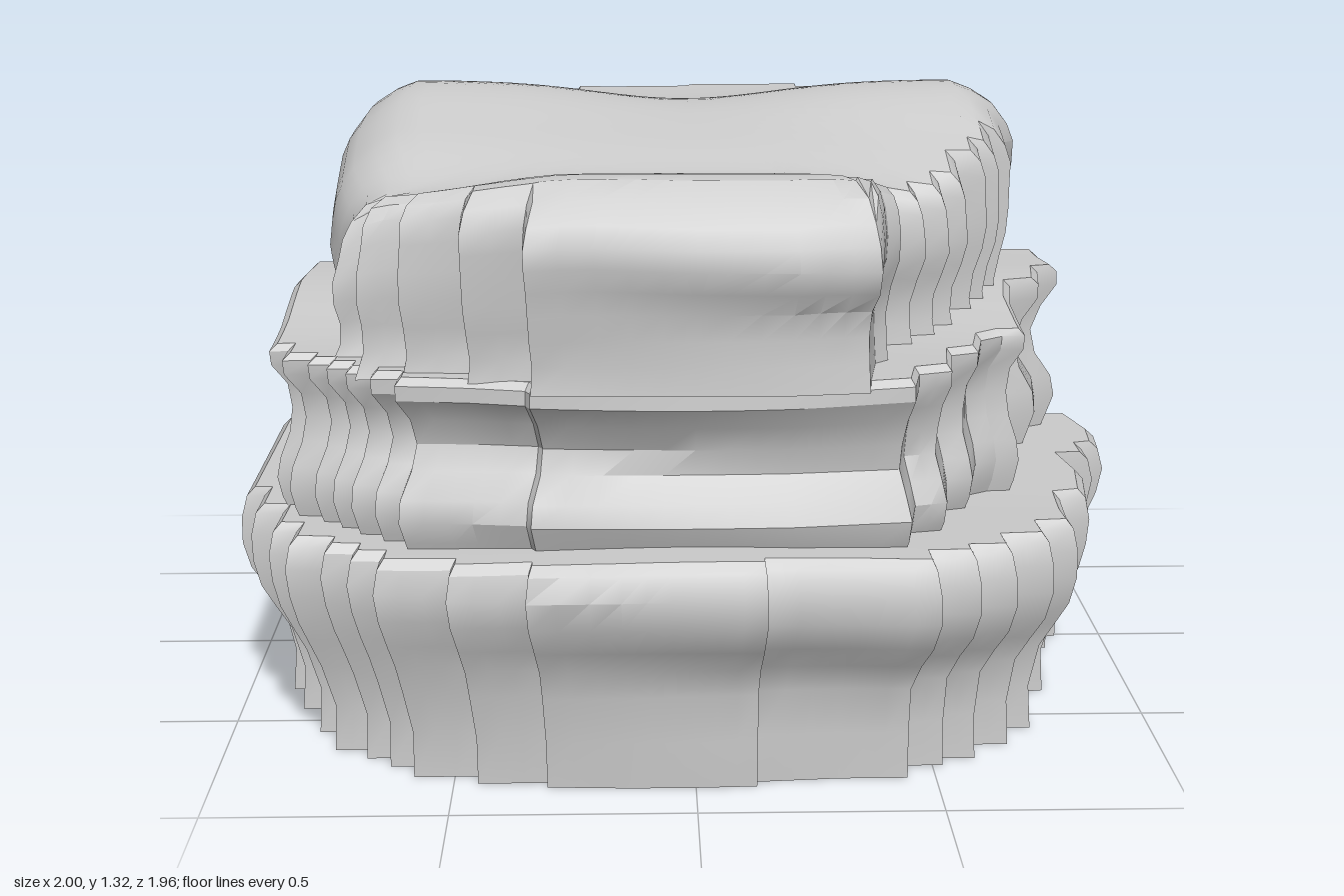
import * as THREE from 'three';
import { toCreasedNormals } from 'three/addons/utils/BufferGeometryUtils.js';

const { lerp, smoothstep } = THREE.MathUtils;
const bump = (v, centre, width) => Math.exp(-(((v - centre) / width) ** 2));

// Plan outlines as [x, z], from the front round by +x, the back and -x.
const lowerPlan = [
  [0, .975], [.14, .97], [.14, .945], [.33, .93], [.49, .88], [.49, .86], [.58, .82], [.66, .74], [.75, .64],
  [.82, .55], [.83, .41], [.89, .4], [.91, .25], [.89, .1], [.95, .1], [.95, .02], [.99, .01], [1, -.1], [.97, -.25],
  [.9, -.25], [.91, -.35], [.9, -.53], [.88, -.65], [.81, -.75], [.7, -.86], [.6, -.88], [.6, -.94], [.3, -.965],
  [0, -.98], [-.3, -.97], [-.65, -.93], [-.75, -.88], [-.8, -.82], [-.86, -.76], [-.86, -.54], [-.83, -.53],
  [-.9, -.3], [-.96, -.25], [-1, -.1], [-1, .1], [-.96, .35], [-.9, .48], [-.85, .63], [-.77, .74], [-.65, .84],
  [-.5, .9], [-.34, .94], [-.34, .965], [-.15, .975],
];
const middlePlan = [
  [0, .85], [.2, .85], [.44, .83], [.46, .72], [.53, .7], [.55, .54], [.61, .52], [.63, .42], [.68, .39], [.73, .16],
  [.75, .03], [.82, .01], [.84, -.13], [.89, -.15], [.88, -.28], [.8, -.39], [.7, -.51], [.58, -.64], [.48, -.74],
  [.4, -.82], [.36, -.9], [.26, -.92], [.24, -.965], [0, -.98], [-.25, -.96], [-.38, -.93], [-.45, -.87],
  [-.63, -.73], [-.7, -.66], [-.8, -.52], [-.83, -.43], [-.84, -.25], [-.9, -.2], [-.91, 0], [-.9, .3], [-.86, .48],
  [-.8, .57], [-.71, .66], [-.6, .76], [-.45, .82], [-.34, .83], [-.33, .85],
];
const upperPlan = [
  [0, .9], [.2, .9], [.36, .88], [.39, .68], [.42, .65], [.43, .5], [.55, .36], [.6, .25], [.66, .18], [.7, .08],
  [.74, -.04], [.77, -.1], [.77, -.28], [.72, -.4], [.6, -.52], [.45, -.65], [.4, -.74], [.33, -.83], [.2, -.885],
  [.04, -.89], [.01, -.86], [-.2, -.84], [-.28, -.78], [-.4, -.71], [-.5, -.58], [-.65, -.49], [-.72, -.36],
  [-.77, -.2], [-.79, 0], [-.78, .3], [-.75, .5], [-.69, .61], [-.6, .72], [-.34, .84], [-.2, .89],
];

// Breaks diagonal runs into small square steps and subdivides straight runs.
function stepped(plan) {
  const corners = [];
  plan.forEach(([x, z], i) => {
    const [x2, z2] = plan[(i + 1) % plan.length];
    const dx = x2 - x, dz = z2 - z;
    const low = Math.min(Math.abs(dx), Math.abs(dz));
    const n = low > .035 ? Math.max(1, Math.round(low / .06)) : 0;
    corners.push([x, z]);
    for (let k = 0; k < n; k++) {
      const ax = x + dx * k / n, az = z + dz * k / n;
      const bx = x + dx * (k + 1) / n, bz = z + dz * (k + 1) / n;
      if (k) corners.push([ax, az]);
      corners.push(Math.hypot(bx, az) > Math.hypot(ax, bz) ? [bx, az] : [ax, bz]);
    }
  });
  const out = [];
  corners.forEach(([x, z], i) => {
    const [x2, z2] = corners[(i + 1) % corners.length];
    const n = Math.max(1, Math.ceil(Math.hypot(x2 - x, z2 - z) / .07));
    for (let k = 0; k < n; k++) out.push([lerp(x, x2, k / n), lerp(z, z2, k / n)]);
  });
  return out;
}

// Scale that brings a point just inside the outline of the layer above.
const reach = (plan) => (x, z) => {
  for (let i = 0; i < plan.length; i++) {
    const [ax, az] = plan[i], [bx, bz] = plan[(i + 1) % plan.length];
    const ca = ax * z - az * x, cb = bx * z - bz * x;
    if (ca * cb > 0 || ca === cb) continue;
    const u = ca / (ca - cb);
    const s = (lerp(ax, bx, u) * x + lerp(az, bz, u) * z) / (x * x + z * z);
    if (s > 0) return Math.min(.95, s * .945);
  }
  return .8;
};

// One layer: wall rows [height share, plan scale], then a cap running inward.
function layer({ name, plan, base, top, wall, inner, capRows, chip = () => 0, lean = () => 0 }) {
  const outline = stepped(plan);
  const rows = wall.map(([t, s]) => [t, s, 0]);
  const edge = wall[wall.length - 1][1];
  for (let k = 1; k <= capRows; k++) rows.push([1, edge, k / capRows]);
  const pos = [], index = [], n = outline.length;
  rows.forEach(([t, s, inward], r) => {
    for (const [x, z] of outline) {
      // gentle weathering that varies round the wall
      const a = Math.atan2(x, z);
      const worn = .012 * Math.sin(3 * a + 9 * t) * Math.sin(Math.PI * t);
      const scale = lerp(s + worn + lean(a, t), inner(x, z), inward);
      const px = x * scale, pz = z * scale;
      const y = lerp(base, top(px, pz), t) + (r === 0 ? chip(x, z) : 0);
      pos.push(px, y, pz);
    }
  });
  for (let r = 0; r < rows.length - 1; r++) {
    for (let i = 0; i < n; i++) {
      const a = r * n + i, b = r * n + (i + 1) % n;
      index.push(a, b, b + n, a, b + n, a + n);
    }
  }
  const geo = new THREE.BufferGeometry();
  geo.setAttribute('position', new THREE.Float32BufferAttribute(pos, 3));
  geo.setIndex(index);
  const mesh = new THREE.Mesh(toCreasedNormals(geo, .5),
    new THREE.MeshStandardMaterial({ color: 0xcccccc, side: THREE.DoubleSide }));
  mesh.name = name;
  return mesh;
}

const lowerTop = (x, z) => .485 + .02 * smoothstep(z, .4, .95) + .006 * Math.cos(6 * x);
const middleTop = (x, z) => .865 - .03 * z + .012 * Math.cos(7 * z) - .01 * Math.cos(4 * x);
// rolling surface: two humps beside a central hollow, and a raised front lip
const upperTop = (x, z) => 1.235
  + .09 * bump(z, -.15, .35) + .02 * bump(z, .74, .12) - .03 * bump(z, .48, .15)
  - .045 * bump(x, 0, .3) * bump(z, -.25, .4)
  - .07 * smoothstep(z, .78, .92)
  - .045 * smoothstep(Math.abs(x), .22, .65) * smoothstep(z, .2, .7)
  - .04 * bump(x, .6, .3) * bump(z, .3, .3)
  - .08 * smoothstep(Math.abs(x), .62, .8);

export function createModel() {
  const group = new THREE.Group();
  group.name = 'layeredRock';
  // bottom layer, open below, with a small chip in the back rim
  group.add(layer({
    name: 'lowerLayer', plan: lowerPlan, base: 0, top: lowerTop, inner: reach(middlePlan), capRows: 2,
    wall: [[0, .9], [.2, .9], [.4, .915], [.52, .94], [.62, .97], [.74, .995], [.86, 1], [.96, .985], [1, .965]],
    chip: (x, z) => (z < -.8 && x > .08 && x < .22 ? .06 : 0),
  }));
  // middle layer, with a waist
  group.add(layer({
    name: 'middleLayer', plan: middlePlan, base: .47, top: middleTop, inner: reach(upperPlan), capRows: 2,
    wall: [[0, .965], [.1, .985], [.22, 1], [.34, .985], [.48, .95], [.62, .945], [.76, .965], [.88, 1], [.96, 1],
      [1, .98]],
  }));
  // top layer, closed above, its corners leaning inward
  group.add(layer({
    name: 'upperLayer', plan: upperPlan, base: .83, top: upperTop, inner: () => 0, capRows: 16,
    wall: [[0, .965], [.15, .955], [.3, .96], [.45, .975], [.6, .995], [.75, 1], [.87, .995], [.95, .975], [1, .94]],
    lean: (a, t) => (.5 - t) * ((a > 0 ? .15 : .12) * bump(Math.abs(a), 2.45, .32) + .08 * bump(a, -.85, .25)),
  }));
  return group;
}
